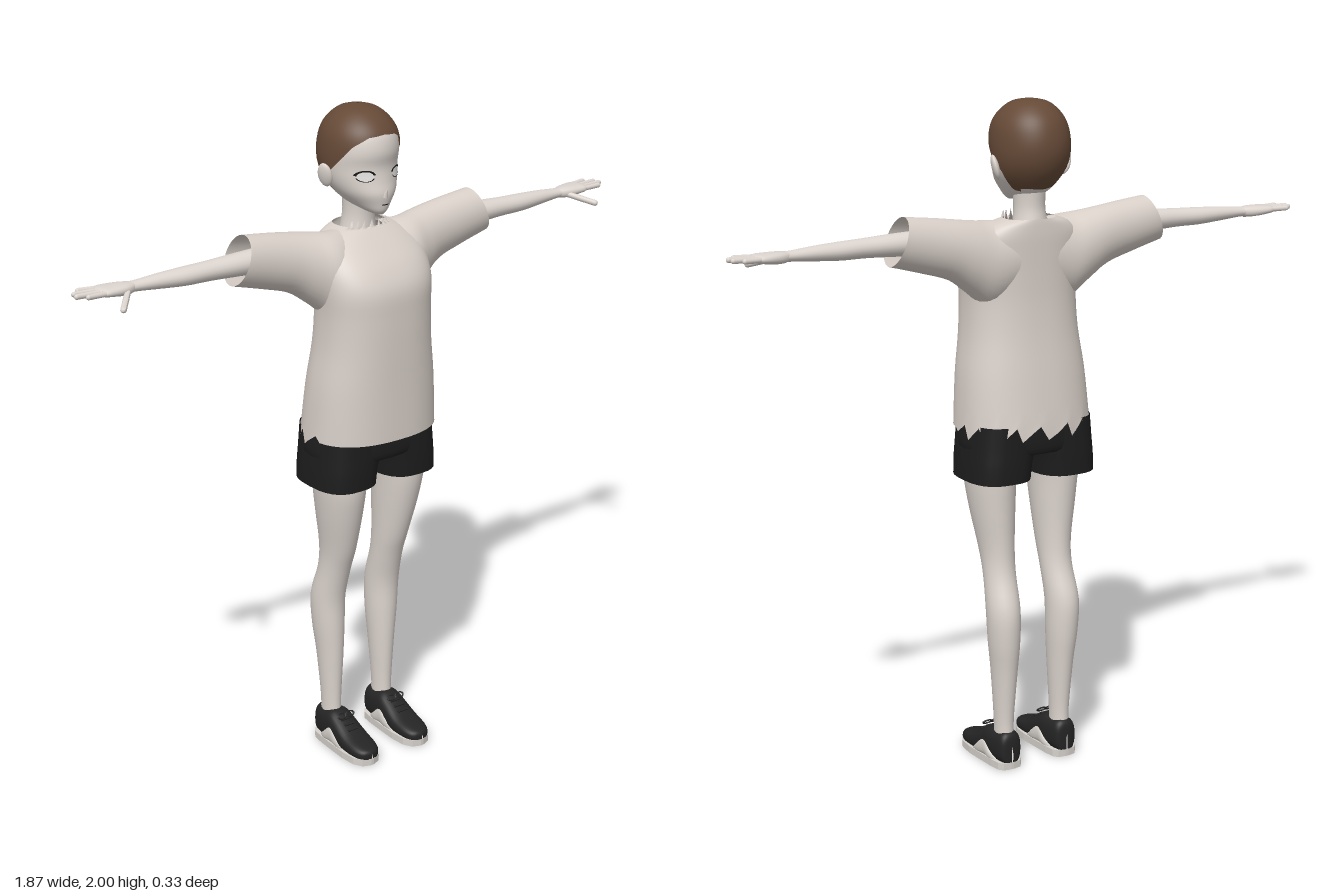
import * as THREE from 'three';

const paint = (name, color, side = THREE.FrontSide) => {
  const m = new THREE.MeshStandardMaterial({ color, side });
  m.name = name;
  return m;
};

// Surface closed in u and open in v; at(i, j) gives a point
function grid(nu, nv, at) {
  const pos = [], idx = [];
  for (let j = 0; j <= nv; j++) for (let i = 0; i < nu; i++) pos.push(...at(i, j));
  for (let j = 0; j < nv; j++) for (let i = 0; i < nu; i++) {
    const k = (i + 1) % nu, a = j * nu + i, b = j * nu + k;
    idx.push(a, b, b + nu, a, b + nu, a + nu);
  }
  const g = new THREE.BufferGeometry();
  g.setAttribute('position', new THREE.Float32BufferAttribute(pos, 3));
  g.setIndex(idx);
  g.computeVertexNormals();
  return g;
}

// Catmull-Rom resampling of a table of rows
function resample(rows, steps) {
  const out = [], last = rows.length - 1;
  for (let s = 0; s <= last * steps; s++) {
    const k = Math.min(Math.floor(s / steps), last - 1), t = s / steps - k;
    const [a, b, c, d] = [-1, 0, 1, 2].map((o) => rows[Math.min(Math.max(k + o, 0), last)]);
    out.push(b.map((v, n) => v + 0.5 * t * (c[n] - a[n] + t * (2 * a[n] - 5 * v + 4 * c[n] - d[n] + t * (3 * (v - c[n]) + d[n] - a[n])))));
  }
  return out;
}

const bulge = (v, n) => Math.sign(v) * Math.abs(v) ** (2 / n);

// Rows along y: [y, zBack, zFront, xMin, xMax]; along x: [x, zBack, zFront, yMin, yMax, slant]; along z: [z, xMin, xMax, yMin, yMax]
function loft(axis, rows, { seg = 28, n = 2, steps = 4 } = {}) {
  const r = resample(rows, steps);
  return grid(seg, r.length - 1, (i, j) => {
    const [t, p0, p1, q0, q1, slant = 0] = r[j], a = (i / seg) * Math.PI * 2;
    const cp = bulge(Math.cos(a), n), cq = bulge(Math.sin(a), n);
    const p = (p0 + p1) / 2 + cp * (p1 - p0) / 2, pm = (q0 + q1) / 2, h = (q1 - q0) / 2;
    if (axis === 'y') return [pm + cq * h, t, p];
    if (axis === 'x') return [t + cq * slant, pm - cq * h, p];
    return [p, pm + cq * h, t];
  });
}

function mirrored(geo) {
  const g = geo.clone().scale(-1, 1, 1), ix = g.index.array;
  for (let i = 0; i < ix.length; i += 3) [ix[i], ix[i + 1]] = [ix[i + 1], ix[i]];
  g.computeVertexNormals();
  return g;
}

// Head profile: [y, zBack, zFront, xMin, xMax]
const headRows = resample([
  [1.703, 0.045, 0.07, 0.012], [1.715, -0.02, 0.08, 0.034], [1.735, -0.09, 0.085, 0.058], [1.765, -0.122, 0.089, 0.083],
  [1.8, -0.147, 0.082, 0.1], [1.84, -0.161, 0.078, 0.108], [1.88, -0.163, 0.085, 0.109], [1.92, -0.154, 0.079, 0.103],
  [1.95, -0.138, 0.062, 0.089], [1.975, -0.112, 0.034, 0.066], [1.99, -0.085, 0.005, 0.04], [1.997, -0.04, -0.04, 0],
].map(([y, b, f, w]) => [y, b, f, -w, w]), 4);

const lerpTable = (table, x) => {
  let k = 0;
  while (k < table.length - 2 && table[k + 1][0] < x) k++;
  const [a, b] = [table[k], table[k + 1]], t = THREE.MathUtils.clamp((x - a[0]) / (b[0] - a[0]), 0, 1);
  return a.map((v, i) => v + (b[i] - v) * t);
};
const faceZ = (x, y) => {
  const [, b, f, , w] = lerpTable(headRows, y);
  return (b + f) / 2 + (f - b) / 2 * Math.sqrt(Math.max(0, 1 - (x / w) ** 2));
};

// Lays a flat geometry onto the front of the face
function onFace(geo, x, y, lift) {
  geo.translate(x, y, 0);
  const p = geo.attributes.position;
  for (let i = 0; i < p.count; i++) p.setZ(i, faceZ(p.getX(i), p.getY(i)) + lift);
  geo.computeVertexNormals();
  return geo;
}

export function createModel() {
  const model = new THREE.Group();
  model.name = 'standingFigure';
  const skin = paint('skin', 0xdcd4ce);
  const cloth = paint('shirtCloth', 0xd8cfc8, THREE.DoubleSide);
  const hairBrown = paint('hairBrown', 0x664a37, THREE.DoubleSide);
  const black = paint('shortsBlack', 0x1d1d1e, THREE.DoubleSide);
  const shoeBlack = paint('shoeBlack', 0x242425);
  const light = paint('shoeLight', 0xd6d1cb);
  const white = paint('eyeWhite', 0xf2f0ee);
  const ink = paint('lashBlack', 0x171515);

  const add = (name, geo, mat) => {
    const m = new THREE.Mesh(geo, mat);
    m.name = name;
    model.add(m);
  };
  const pair = (name, geo, mat) => {
    add(name + 'Left', geo, mat);
    add(name + 'Right', mirrored(geo), mat);
  };

  // Head and neck
  add('head', grid(48, headRows.length - 1, (i, j) => {
    const [y, b, f, , w] = headRows[j], a = (i / 48) * Math.PI * 2;
    return [Math.sin(a) * w, y, (b + f) / 2 + Math.cos(a) * (f - b) / 2];
  }), skin);
  add('neck', loft('y', [[1.58, -0.1, 0.01, -0.07, 0.07], [1.65, -0.095, 0.012, -0.05, 0.05], [1.7, -0.09, 0.015, -0.043, 0.043], [1.77, -0.1, 0.03, -0.045, 0.045]]), skin);
  add('nose', new THREE.ConeGeometry(0.009, 0.03, 10).rotateX(0.45).translate(0, 1.772, 0.092), skin);
  add('mouth', onFace(new THREE.PlaneGeometry(0.022, 0.003, 6, 1), 0, 1.735, 0.002), ink);
  pair('ear', new THREE.SphereGeometry(1, 16, 12).scale(0.011, 0.036, 0.023).rotateZ(-0.25).rotateY(-0.4).translate(0.114, 1.812, -0.042), skin);

  // Hair cap with a hairline that drops from the brow to the nape
  const hairline = [[0, 1.93], [0.45, 1.925], [0.85, 1.9], [1.2, 1.85], [1.45, 1.825], [1.75, 1.8], [2.05, 1.742], [Math.PI, 1.728]];
  add('hair', grid(72, 24, (i, j) => {
    const a = (i / 72) * Math.PI * 2, low = lerpTable(hairline, Math.min(a, Math.PI * 2 - a))[1];
    const y = low + (1.997 - low) * Math.sin((j / 24) * Math.PI / 2);
    const [, b, f, , w] = lerpTable(headRows, y);
    return [Math.sin(a) * (w + 0.004), y + 0.003, (b + f) / 2 + Math.cos(a) * ((f - b) / 2 + 0.004)];
  }), hairBrown);

  // Eyes, lashes and brows
  pair('eye', onFace(new THREE.RingGeometry(0.001, 1, 24, 3).scale(0.022, 0.014, 1), 0.053, 1.818, 0.002), white);
  pair('eyeRim', onFace(new THREE.RingGeometry(0.92, 1.05, 24, 1, Math.PI * 1.1, Math.PI * 0.8).scale(0.022, 0.014, 1), 0.053, 1.818, 0.003), ink);
  pair('lash', onFace(new THREE.RingGeometry(0.88, 1.16, 20, 1, 0.1, Math.PI - 0.3).scale(0.023, 0.015, 1), 0.053, 1.819, 0.003), ink);

  // Shirt body: ragged hem at the back and a spiky collar in front
  const SEG = 72;
  const body = loft('y', [
    [1.05, -0.15, 0.16, 0.205], [1.2, -0.13, 0.16, 0.195], [1.32, -0.113, 0.161, 0.179], [1.42, -0.104, 0.161, 0.174], [1.5, -0.102, 0.157, 0.178],
    [1.56, -0.102, 0.127, 0.178], [1.61, -0.102, 0.082, 0.165], [1.645, -0.1, 0.045, 0.125], [1.662, -0.098, 0.025, 0.078],
  ].map(([y, b, f, w]) => [y, b, f, -w, w]), { seg: SEG, n: 2.4 });
  const bp = body.attributes.position, top = bp.count - SEG;
  for (let i = 0; i < SEG; i++) {
    const c = Math.cos((i / SEG) * Math.PI * 2);
    if (c < 0.15) bp.setY(i, 1.025 + 0.014 * (i % 4));
    if (c > 0.6) bp.setY(top + i, 1.65 + (i % 3 === 0 ? 0.03 : 0));
  }
  body.computeVertexNormals();
  add('shirtBody', body, cloth);
  pair('sleeve', loft('x', [
    [0.06, -0.098, 0.05, 1.44, 1.655, 0], [0.13, -0.1, 0.08, 1.41, 1.658, 0], [0.19, -0.098, 0.06, 1.455, 1.664, 0.005],
    [0.25, -0.094, 0.043, 1.5, 1.672, 0.01], [0.33, -0.09, 0.035, 1.528, 1.682, 0.018], [0.425, -0.088, 0.032, 1.556, 1.692, 0.025],
  ], { seg: 32 }), cloth);

  // Arms
  pair('arm', loft('x', [
    [0.2, -0.065, 0.02, 1.57, 1.655], [0.42, -0.06, 0.014, 1.582, 1.648], [0.52, -0.056, 0.008, 1.587, 1.643], [0.6, -0.058, 0.005, 1.588, 1.64],
    [0.68, -0.055, -0.005, 1.594, 1.636], [0.75, -0.053, -0.013, 1.6, 1.63], [0.78, -0.058, -0.01, 1.6, 1.63],
  ], { seg: 20 }), skin);

  // Hands: palm, four spread fingers and a thumb
  pair('palm', loft('x', [
    [0.755, -0.05, -0.016, 1.602, 1.628], [0.785, -0.064, -0.004, 1.598, 1.631], [0.825, -0.075, 0, 1.602, 1.631], [0.855, -0.073, -0.003, 1.607, 1.629], [0.867, -0.045, -0.03, 1.615, 1.62],
  ], { seg: 20, n: 2.5 }), skin);
  const digit = (from, to, r) => {
    const a = new THREE.Vector3(...from), d = new THREE.Vector3(...to).sub(a), len = d.length();
    return new THREE.CapsuleGeometry(r, len, 4, 10).translate(0, len / 2, 0)
      .applyQuaternion(new THREE.Quaternion().setFromUnitVectors(new THREE.Vector3(0, 1, 0), d.normalize())).translate(a.x, a.y, a.z);
  };
  const tips = [[0.905, -0.008], [0.928, -0.03], [0.924, -0.052], [0.9, -0.074]];
  tips.forEach(([x, z], k) => pair('finger' + (k + 1), digit([0.84, 1.618, -0.011 - k * 0.018], [x, 1.62, z], 0.0078), skin));
  pair('thumb', digit([0.785, 1.61, -0.012], [0.838, 1.588, 0.052], 0.009), skin);

  // Shorts: hips and two open legs
  add('shortsHips', loft('y', [[0.975, -0.1, 0.09, -0.13, 0.13], [0.985, -0.128, 0.12, -0.197, 0.197], [1.06, -0.128, 0.12, -0.196, 0.196], [1.15, -0.1, 0.11, -0.17, 0.17], [1.16, 0, 0, 0, 0]], { n: 2.5 }), black);
  pair('shortsLeg', loft('y', [[0.9, -0.13, 0.118, 0.012, 0.206], [0.95, -0.131, 0.12, 0.006, 0.204], [1.0, -0.13, 0.12, -0.005, 0.2], [1.07, -0.128, 0.118, -0.005, 0.194]], { n: 2.7 }), black);

  // Legs
  pair('leg', loft('y', [
    [0.08, -0.092, -0.015, 0.07, 0.126], [0.15, -0.09, -0.016, 0.07, 0.126], [0.3, -0.105, -0.008, 0.061, 0.136], [0.4, -0.117, -0.004, 0.055, 0.147],
    [0.5, -0.117, 0.0, 0.053, 0.152], [0.6, -0.086, 0.024, 0.051, 0.146], [0.68, -0.078, 0.052, 0.048, 0.149], [0.8, -0.082, 0.085, 0.041, 0.168],
    [0.9, -0.087, 0.103, 0.034, 0.18], [1.02, -0.09, 0.1, 0.02, 0.185],
  ]), skin);

  // Shoes: upper, sole, side panel and lace bow
  const X = 0.097;
  const shoe = [[-0.104, 0.002, 0.07], [-0.1, 0.026, 0.1], [-0.085, 0.037, 0.115], [-0.05, 0.042, 0.115], [-0.015, 0.044, 0.118], [0.02, 0.046, 0.1],
    [0.07, 0.048, 0.071], [0.12, 0.043, 0.056], [0.148, 0.028, 0.047], [0.158, 0.002, 0.035]];
  pair('shoeUpper', loft('z', shoe.map(([z, w, h]) => [z, X - w, X + w, 0.012, h]), { n: 2.6 }), shoeBlack);
  const outline = new THREE.Shape([...shoe.map(([z, w]) => [w + 0.003, z]), ...shoe.slice().reverse().map(([z, w]) => [-w - 0.003, z])].map(([x, z]) => new THREE.Vector2(x, -z)));
  const sole = new THREE.ExtrudeGeometry(outline, { depth: 0.022, bevelEnabled: false }).rotateX(-Math.PI / 2).translate(X, 0, 0);
  add('soleLeft', sole, light);
  add('soleRight', sole.clone().translate(-2 * X, 0, 0), light);
  pair('shoePanel', loft('z', [[-0.06, 0.036, 0.03], [-0.035, 0.047, 0.055], [-0.005, 0.049, 0.085], [0.025, 0.0505, 0.065], [0.06, 0.045, 0.03]]
    .map(([z, w, h]) => [z, X - w, X + w, 0.01, h]), { n: 2.8 }), light);
  [-1, 1].forEach((s) => pair(s > 0 ? 'laceLoopOuter' : 'laceLoopInner',
    new THREE.TorusGeometry(0.011, 0.0025, 6, 14).scale(1.3, 0.8, 1).rotateX(-0.7).translate(X + s * 0.015, 0.112, 0.022), shoeBlack));
  for (let k = 0; k < 3; k++) pair('lace' + (k + 1), new THREE.BoxGeometry(0.036, 0.004, 0.006).rotateX(0.55).translate(X, 0.1 - k * 0.0105, 0.023 + k * 0.018), shoeBlack);

  return model;
}
